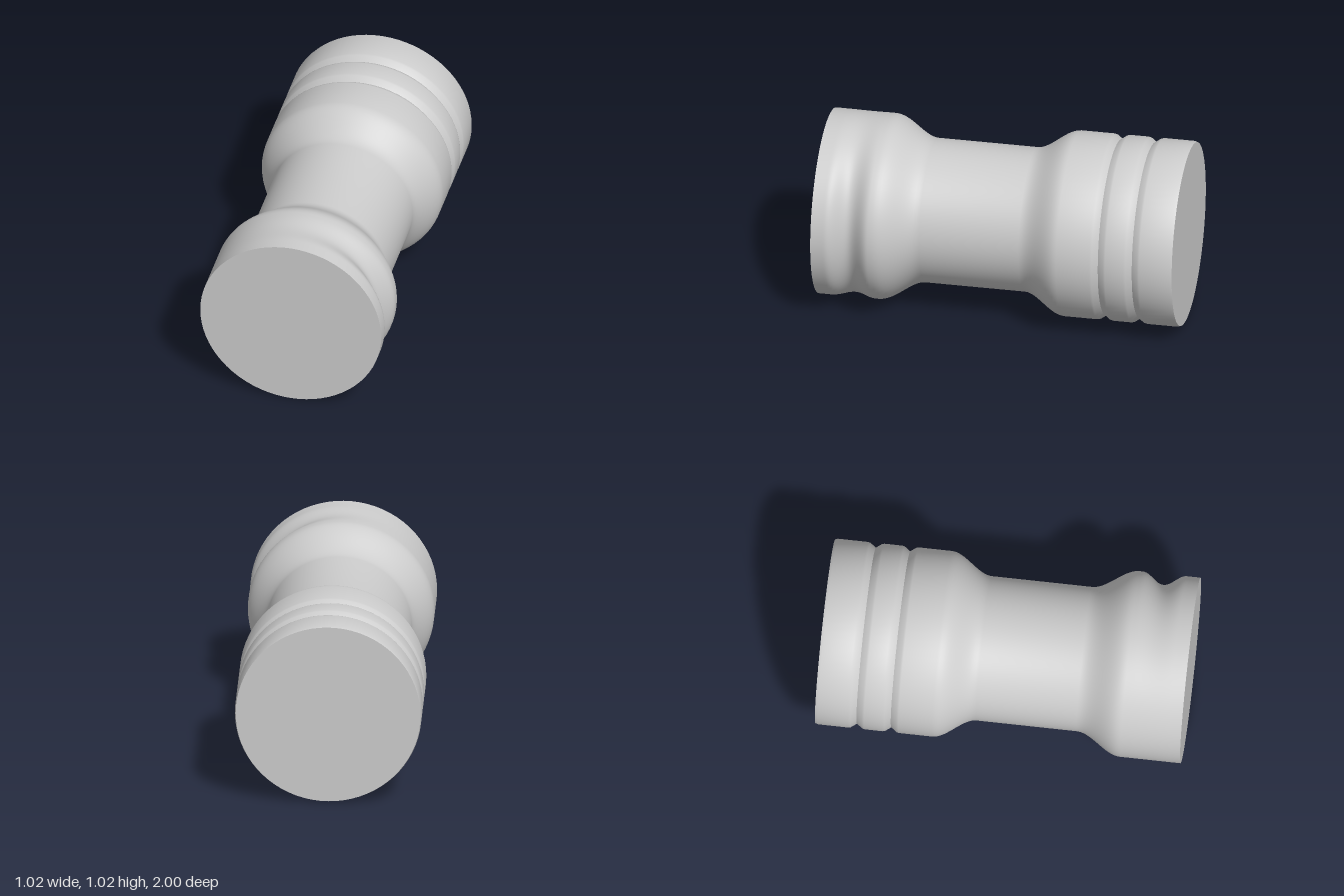
import * as THREE from 'three';
import { toCreasedNormals } from 'three/addons/utils/BufferGeometryUtils.js';

const R = 0.508; // collar radius
const NECK = 0.395; // waist radius
const SIDES = 72;

export function createModel() {
  const group = new THREE.Group();
  group.name = 'grooved spool';
  const grey = new THREE.MeshStandardMaterial({ color: 0xcccccc });
  grey.name = 'light grey';

  const profile = [];
  const add = (z, r) => profile.push(new THREE.Vector2(r, z));
  // S-shaped flare between two radii
  const flare = (z0, r0, z1, r1, n = 14) => {
    for (let i = 0; i <= n; i++) {
      const t = i / n;
      add(z0 + (z1 - z0) * t, r0 + (r1 - r0) * t * t * (3 - 2 * t));
    }
  };
  // V-shaped ring groove
  const ring = (z) => {
    add(z - 0.044, R);
    add(z - 0.032, R - 0.003);
    add(z, R - 0.026);
    add(z + 0.032, R - 0.003);
    add(z + 0.044, R);
  };

  // Profile from back to front
  add(-1, R - 0.005);
  add(-0.985, R);
  ring(-0.775);
  ring(-0.587);
  flare(-0.36, R, -0.13, NECK);
  flare(0.42, NECK, 0.665, R);
  for (let i = 1; i <= 28; i++) add(0.665 + i * 0.01, R);
  add(1, R);

  const body = new THREE.LatheGeometry(profile, SIDES);
  body.rotateX(Math.PI / 2);

  // One-sided groove, deepest on +x and fading around the collar
  const p = body.attributes.position;
  for (let i = 0; i < p.count; i++) {
    const d = Math.abs(p.getZ(i) - 0.805) / 0.12;
    if (d >= 1) continue;
    const x = p.getX(i), y = p.getY(i), r = Math.hypot(x, y);
    const fade = Math.pow((1 + x / r) / 2, 3);
    const k = 1 - (0.068 * fade * (1 + Math.cos(Math.PI * d)) / 2) / r;
    p.setXY(i, x * k, y * k);
  }
  const bodyMesh = new THREE.Mesh(toCreasedNormals(body, 0.75), grey);
  bodyMesh.name = 'body';
  group.add(bodyMesh);

  // Flat end faces
  const front = new THREE.Mesh(new THREE.CircleGeometry(R, SIDES), grey);
  front.name = 'frontFace';
  front.position.z = 1;
  const back = new THREE.Mesh(new THREE.CircleGeometry(R - 0.005, SIDES), grey);
  back.name = 'backFace';
  back.position.z = -1;
  back.rotation.y = Math.PI;
  group.add(front, back);

  group.children.forEach((m) => { m.position.y = R; });
  return group;
}
